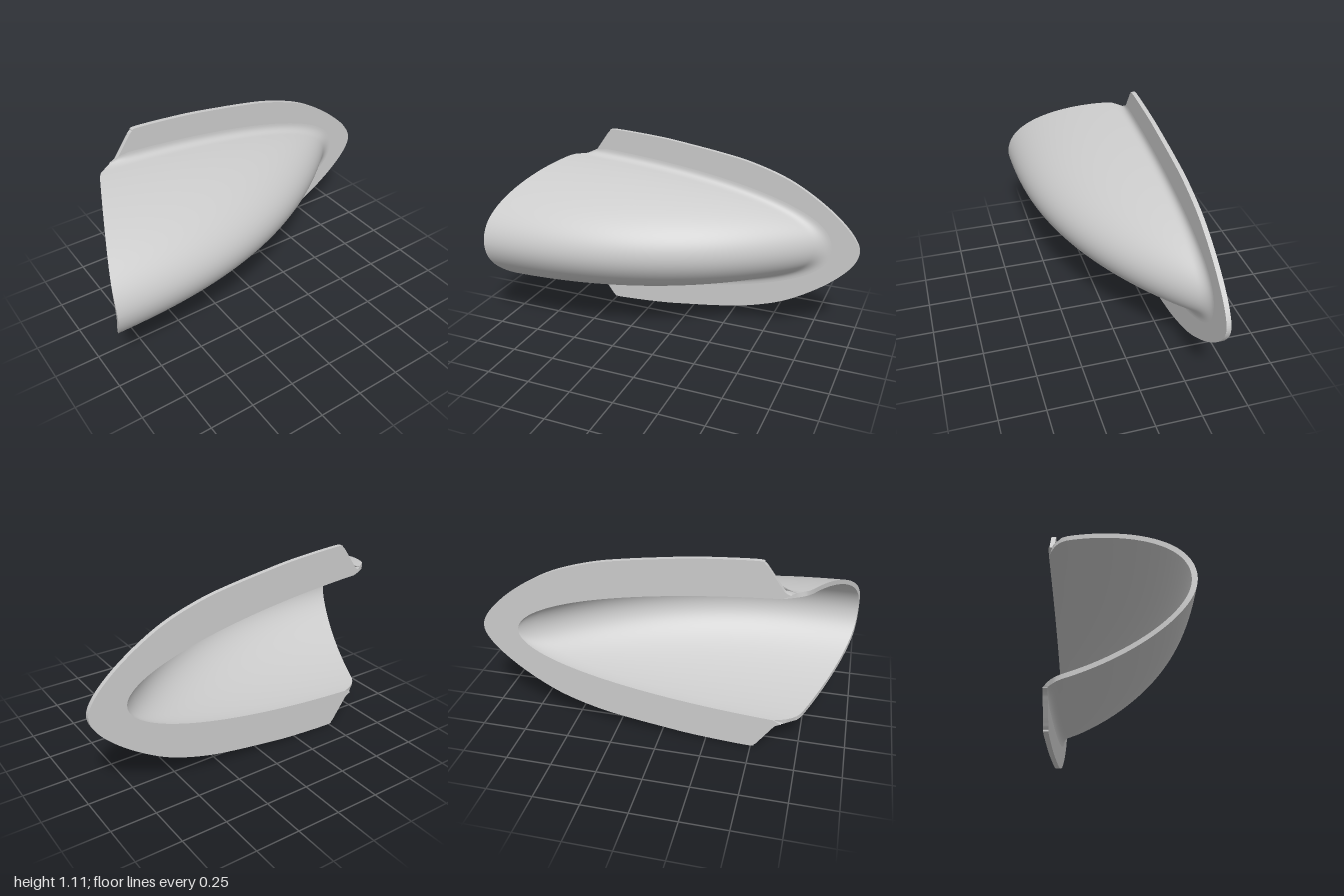
import * as THREE from 'three';

const BACK = -0.35, FACE = -0.325, TOP = 0.35; // flange back, flange face, crown of the hood
const FILLET = 0.045, FILLET_ROWS = 8, ROWS = 56, N = 48;
const { lerp, smoothstep, clamp } = THREE.MathUtils;

// Slanted mouth of the hood: x of the cut edge at depth z
function mouthX(z) {
  const a = 1.005 - 0.957 - 0.435 * (z - 0.214);
  const flare = z < -0.23 ? 0.1 * ((-0.23 - z) / 0.12) ** 3 : 0;
  return -1.005 + (a + Math.sqrt(a * a + 0.0006)) / 2 + flare;
}

// Ridge line: x where the crown curve reaches depth z
const ridgeX = z => Math.max(mouthX(z), -1 + Math.max(0, (TOP - z) / 0.155) ** 0.4);

// Half width of the hood at x, z
function halfWidth(x, z) {
  const h = TOP - BACK - 0.155 * Math.max(0, x + 1) ** 2.5;
  const w = 0.4 * Math.sqrt(Math.max(0, 1 - (Math.max(0, x + 1) / 1.828) ** 1.85));
  const t = h > 0 ? clamp((z - BACK) / h, 0, 1) : 1;
  return w * Math.sqrt(Math.max(0, 1 - t ** 1.6));
}

// Point on the U-shaped contour at depth z; j runs from -N (mouth) over 0 (nose) to N
function contour(j, z) {
  const x = lerp(mouthX(z), ridgeX(z), 1 - (j / N) ** 2);
  return new THREE.Vector3(x, j === 0 ? 0 : Math.sign(j) * halfWidth(x, z), z);
}

const Z_A = FACE + FILLET;
const rowZ = i => TOP - (TOP - Z_A) * (1 - (i - FILLET_ROWS) / (ROWS - FILLET_ROWS)) ** 2;

// Outer skin, with a fillet running out onto the flange
function outerPoint(i, j) {
  if (i >= FILLET_ROWS) return contour(j, rowZ(i));
  const a = contour(j, Z_A), b = contour(j, FACE);
  const t = contour(Math.min(N, j + 1), FACE).sub(contour(Math.max(-N, j - 1), FACE)).normalize();
  const r = FILLET * smoothstep(b.x - mouthX(FACE), 0, 0.09);
  const c = new THREE.Vector3(b.x + t.y * r, b.y - t.x * r, FACE);
  return new THREE.QuadraticBezierCurve3(c, b, a).getPoint(i / FILLET_ROWS);
}

// Inner skin, one wall thickness inside
function innerPoint(i, j) {
  const z = i < FILLET_ROWS ? lerp(BACK, Z_A, i / FILLET_ROWS) : rowZ(i);
  const p = contour(j, z);
  const zi = BACK + (z - BACK) * 0.963;
  return new THREE.Vector3(mouthX(zi) + (p.x - mouthX(z)) * 0.98, p.y * 0.935, zi);
}

// Surface from a grid of points
function grid(rows, cols, point, flip = false) {
  const pos = [], index = [];
  for (let i = 0; i <= rows; i++)
    for (let j = 0; j <= cols; j++) pos.push(...point(i, j).toArray());
  for (let i = 0; i < rows; i++)
    for (let j = 0; j < cols; j++) {
      const a = i * (cols + 1) + j, b = a + 1, c = a + cols + 1, d = c + 1;
      if (flip) index.push(a, c, b, b, c, d);
      else index.push(a, b, c, b, d, c);
    }
  const g = new THREE.BufferGeometry();
  g.setAttribute('position', new THREE.Float32BufferAttribute(pos, 3));
  g.setIndex(index);
  g.computeVertexNormals();
  return g;
}

// Flat U-shaped flange around the hood
function flangeGeometry() {
  const half = [[-0.655, 0.385], [-0.625, 0.4], [-0.6, 0.432], [-0.545, 0.51], [-0.52, 0.54], [-0.48, 0.553],
    [-0.2, 0.535], [0, 0.51], [0.2, 0.48], [0.36, 0.448], [0.55, 0.387], [0.7, 0.31],
    [0.85, 0.205], [0.96, 0.095]];
  const pts = [...half, [1, 0], ...half.map(([x, y]) => [x, -y]).reverse()];
  const outer = new THREE.SplineCurve(pts.map(p => new THREE.Vector2(...p))).getPoints(200);
  const inner = [];
  for (let j = -N; j <= N; j++) {
    const p = innerPoint(0, j);
    inner.push(new THREE.Vector2(p.x, p.y));
  }
  const g = new THREE.ExtrudeGeometry(new THREE.Shape([...outer, ...inner]),
    { depth: FACE - BACK, bevelEnabled: false });
  return g.translate(0, 0, BACK);
}

export function createModel() {
  const group = new THREE.Group();
  group.name = 'scoopVent';
  const material = new THREE.MeshStandardMaterial({ color: 0xcccccc, side: THREE.DoubleSide });
  const add = (name, geometry) => {
    const mesh = new THREE.Mesh(geometry, material);
    mesh.name = name;
    group.add(mesh);
  };

  add('flange', flangeGeometry());
  add('hoodOuter', grid(ROWS, 2 * N, (i, j) => outerPoint(i, j - N)));
  add('hoodInner', grid(ROWS, 2 * N, (i, j) => innerPoint(i, j - N), true));

  // Rim of the mouth, joining outer and inner skins on both sides
  for (const side of [-1, 1])
    add(side > 0 ? 'mouthRimUpper' : 'mouthRimLower',
      grid(ROWS, 1, (i, k) => (k ? outerPoint(i, side * N) : innerPoint(i, side * N)), side > 0));

  group.position.y = 0.553;
  return group;
}
